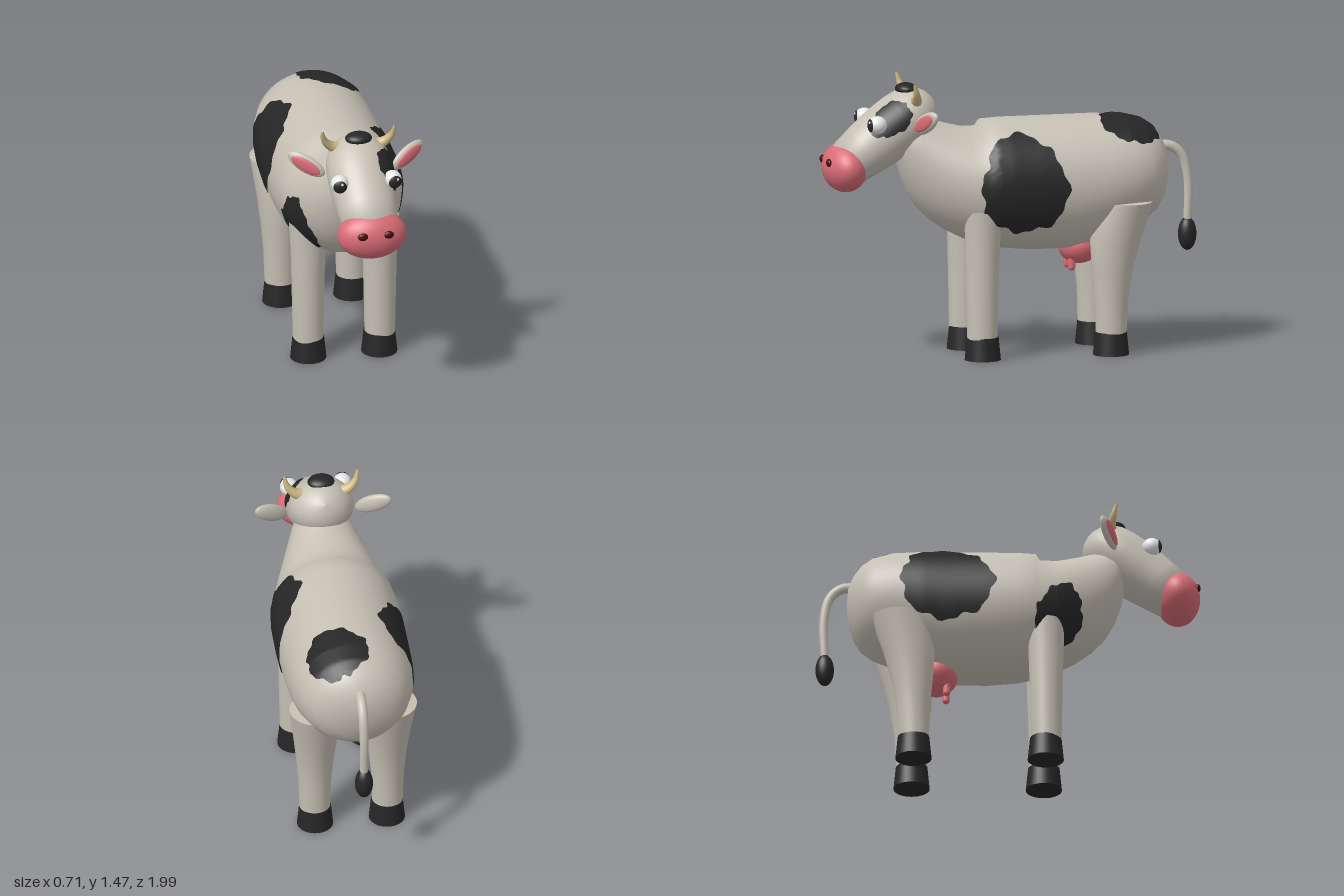
import * as THREE from 'three';

const mat = (name, color, side = THREE.FrontSide) => {
  const m = new THREE.MeshStandardMaterial({ color, side });
  m.name = name;
  return m;
};

// A surface of elliptical rings in the y-z plane. Rows are [s, low, high, halfWidth],
// with s measured along the axis and low/high along the perpendicular; all pairs are [y, z].
function makeSurface(origin, axis, perp, rows) {
  const at = (row, t, lift = 0) => {
    const [s, lo, hi, w] = row;
    const p = (lo + hi) / 2 + ((hi - lo) / 2 + lift) * Math.sin(t);
    return [(w + lift) * Math.cos(t), origin[0] + s * axis[0] + p * perp[0], origin[1] + s * axis[1] + p * perp[1]];
  };
  const point = (s, t, lift) => {
    let i = 0;
    while (i < rows.length - 2 && rows[i + 1][0] < s) i++;
    const a = rows[i], b = rows[i + 1];
    const k = THREE.MathUtils.clamp((s - a[0]) / (b[0] - a[0] || 1), 0, 1);
    return at(a.map((v, j) => v + (b[j] - v) * k), t, lift);
  };
  return { rows, at, point };
}

function indexed(pos, idx) {
  const g = new THREE.BufferGeometry();
  g.setAttribute('position', new THREE.Float32BufferAttribute(pos, 3));
  g.setIndex(idx);
  g.computeVertexNormals();
  return g;
}

function skin({ rows, at }, n = 48) {
  const pos = [], idx = [];
  rows.forEach((row, r) => {
    for (let j = 0; j < n; j++) {
      pos.push(...at(row, (j / n) * Math.PI * 2));
      if (r === rows.length - 1) continue;
      const a = r * n + j, b = r * n + (j + 1) % n;
      idx.push(a, b, a + n, b, b + n, a + n);
    }
  });
  return indexed(pos, idx);
}

// Ragged spot that follows a surface just above it
function spot(surface, s0, t0, rs, rt, seed, lift = 0.007) {
  const n = 72, rings = 10, pos = [...surface.point(s0, t0, lift)], idx = [];
  for (let k = 1; k <= rings; k++) {
    for (let j = 0; j < n; j++) {
      const f = (j / n) * Math.PI * 2;
      const edge = 0.95 + 0.06 * Math.sin(3 * f + seed) + 0.04 * Math.sin(8 * f + 2 * seed) + 0.03 * Math.sin(15 * f + seed);
      const r = edge * k / rings;
      pos.push(...surface.point(s0 + rs * r * Math.sin(f), t0 + rt * r * Math.cos(f), lift));
      const j2 = (j + 1) % n, o = 1 + (k - 1) * n, i = o - n;
      if (k === 1) idx.push(0, o + j, o + j2);
      else idx.push(i + j, o + j, o + j2, i + j, o + j2, i + j2);
    }
  }
  return indexed(pos, idx);
}

// Tube whose radius runs from r0 to r1
function taperedTube(points, r0, r1) {
  const curve = new THREE.CatmullRomCurve3(points.map(p => new THREE.Vector3(...p)));
  const n = 24, m = 16, g = new THREE.TubeGeometry(curve, n, 1, m);
  const v = new THREE.Vector3(), pos = g.attributes.position;
  for (let i = 0; i <= n; i++) {
    const c = curve.getPointAt(i / n), r = r0 + (r1 - r0) * i / n;
    for (let j = 0; j <= m; j++) {
      const q = i * (m + 1) + j;
      v.fromBufferAttribute(pos, q).sub(c).multiplyScalar(r).add(c);
      pos.setXYZ(q, v.x, v.y, v.z);
    }
  }
  return g;
}

const ellipsoid = (rx, ry, rz) => new THREE.SphereGeometry(1, 36, 24).scale(rx, ry, rz);

export function createModel() {
  const hide = mat('hide', 0xc6c0b4);
  const black = mat('black', 0x262626, THREE.DoubleSide);
  const pink = mat('pink', 0xd96c76);
  const horn = mat('horn', 0xd0ba86);
  const white = mat('eye white', 0xeeeeee);
  const nostrilRed = mat('nostril red', 0x4a0c0c);

  const model = new THREE.Group();
  model.name = 'cow';
  const add = (name, geometry, material, x = 0, y = 0, z = 0, parent = model) => {
    const mesh = new THREE.Mesh(geometry, material);
    mesh.name = name;
    mesh.position.set(x, y, z);
    parent.add(mesh);
    return mesh;
  };

  // Barrel, shoulder step, chest and neck in one skin
  const body = makeSurface([0, 0], [0, 1], [1, 0], [
    [-0.836, 0.95, 0.96, 0.001], [-0.828, 0.86, 1.05, 0.09], [-0.80, 0.77, 1.11, 0.17],
    [-0.76, 0.71, 1.16, 0.23], [-0.70, 0.67, 1.20, 0.275], [-0.60, 0.63, 1.225, 0.31],
    [-0.45, 0.57, 1.235, 0.325], [-0.30, 0.54, 1.235, 0.33], [-0.10, 0.54, 1.235, 0.333],
    [0.05, 0.555, 1.235, 0.33], [0.14, 0.575, 1.23, 0.32], [0.16, 0.58, 1.195, 0.312],
    [0.25, 0.61, 1.195, 0.29], [0.35, 0.66, 1.22, 0.25], [0.43, 0.715, 1.245, 0.215],
    [0.50, 0.785, 1.28, 0.18], [0.55, 0.87, 1.29, 0.155], [0.585, 0.97, 1.28, 0.125],
    [0.605, 1.07, 1.24, 0.08], [0.61, 1.15, 1.16, 0.001],
  ]);
  add('body', skin(body, 64), hide);
  add('leftSideSpot', spot(body, 0, 0.1, 0.235, 0.86, 1), black);
  add('rumpSpot', spot(body, -0.62, 1.22, 0.165, 0.6, 2.5), black);
  add('rightSideSpot', spot(body, -0.33, 2.88, 0.25, 0.76, 4), black);
  add('rightShoulderSpot', spot(body, 0.26, Math.PI + 0.42, 0.13, 0.62, 5.5), black);

  // Head sloping down to the muzzle
  const head = makeSurface([1.27, 0.53], [-0.592, 0.806], [0.806, 0.592], [
    [-0.145, -0.001, 0.001, 0.001], [-0.135, -0.05, 0.05, 0.055], [-0.11, -0.095, 0.095, 0.1],
    [-0.07, -0.125, 0.128, 0.14], [-0.02, -0.143, 0.146, 0.163], [0.04, -0.152, 0.154, 0.172],
    [0.10, -0.155, 0.156, 0.173], [0.20, -0.15, 0.152, 0.166], [0.30, -0.138, 0.14, 0.155],
    [0.42, -0.122, 0.122, 0.145], [0.43, -0.001, 0.001, 0.001],
  ]);
  add('head', skin(head), hide);
  add('eyeSpot', spot(head, 0.11, 0.58, 0.125, 0.58, 3, 0.005), black);
  add('forelock', ellipsoid(0.07, 0.032, 0.056), black, 0, 1.407, 0.553);
  add('muzzle', ellipsoid(0.182, 0.13, 0.115), pink, 0, 1.01, 0.88);

  // Leg profiles: rows run up the leg, with the other values toward the back
  const legRows = {
    front: [[0.1, -0.272, -0.115, 0.079], [0.4, -0.277, -0.108, 0.085], [0.62, -0.282, -0.1, 0.09],
      [0.78, -0.288, -0.09, 0.1], [0.78, -0.288, -0.09, 0.1], [0.785, -0.19, -0.189, 0.001]],
    rear: [[0.1, 0.415, 0.575, 0.08], [0.3, 0.41, 0.585, 0.086], [0.45, 0.395, 0.61, 0.1],
      [0.6, 0.385, 0.65, 0.117], [0.72, 0.405, 0.69, 0.133], [0.80, 0.43, 0.712, 0.143],
      [0.80, 0.43, 0.712, 0.143], [0.81, 0.57, 0.571, 0.001]],
  };

  for (const side of [1, -1]) {
    const label = side > 0 ? 'left' : 'right';

    for (const [end, z] of [['Front', 0.19], ['Rear', -0.495]]) {
      const leg = makeSurface([0, 0], [1, 0], [0, -1], legRows[end.toLowerCase()]);
      add(label + end + 'Leg', skin(leg, 32), hide, side * 0.19);
      add(label + end + 'Hoof', new THREE.CylinderGeometry(0.082, 0.094, 0.12, 32), black, side * 0.188, 0.06, z);
    }

    add(label + 'Horn', taperedTube([[side * 0.08, 1.345, 0.53], [side * 0.14, 1.365, 0.53],
      [side * 0.178, 1.405, 0.54], [side * 0.193, 1.463, 0.555]], 0.037, 0.007), horn);

    // Ear with pink lining, swept up and back
    const ear = new THREE.Group();
    ear.name = label + 'Ear';
    ear.position.set(side * 0.267, 1.265, 0.513);
    ear.rotation.set(0, side * 0.42, side * 0.5, 'YZX');
    add('earShell', ellipsoid(0.108, 0.048, 0.026), hide, 0, 0, 0, ear);
    add('earLining', ellipsoid(0.085, 0.034, 0.012), pink, 0, 0, 0.018, ear);
    model.add(ear);

    // Eye with pupil and glint caps
    const eye = new THREE.Group();
    eye.name = label + 'Eye';
    eye.position.set(side * 0.14, 1.245, 0.74);
    eye.rotation.y = side * 0.15;
    const cap = (r, a) => new THREE.SphereGeometry(r, 24, 10, 0, Math.PI * 2, 0, a).rotateX(Math.PI / 2);
    add('eyeball', ellipsoid(0.047, 0.047, 0.05), white, 0, 0, 0, eye);
    add('pupil', cap(0.053, 0.72), black, 0, 0, 0, eye);
    add('glint', cap(0.0545, 0.13), white, 0, 0, 0, eye).rotation.set(-0.35, 0.2, 0);
    model.add(eye);

    add(label + 'Nostril', ellipsoid(0.027, 0.021, 0.014), nostrilRed, side * 0.068, 1.045, 0.981);
    add(label + 'Teat', new THREE.CapsuleGeometry(0.019, 0.07, 8, 16), pink, side * 0.05, 0.478, -0.32);
  }

  add('udder', ellipsoid(0.13, 0.1, 0.11), pink, 0, 0.555, -0.37);

  // Tail with dark tuft
  add('tail', taperedTube([[0, 1.055, -0.78], [0, 1.05, -0.86], [0, 1.0, -0.92], [0, 0.88, -0.953], [0, 0.62, -0.95]], 0.027, 0.02), hide);
  add('tailTuft', ellipsoid(0.047, 0.087, 0.048), black, 0, 0.585, -0.95);

  return model;
}
